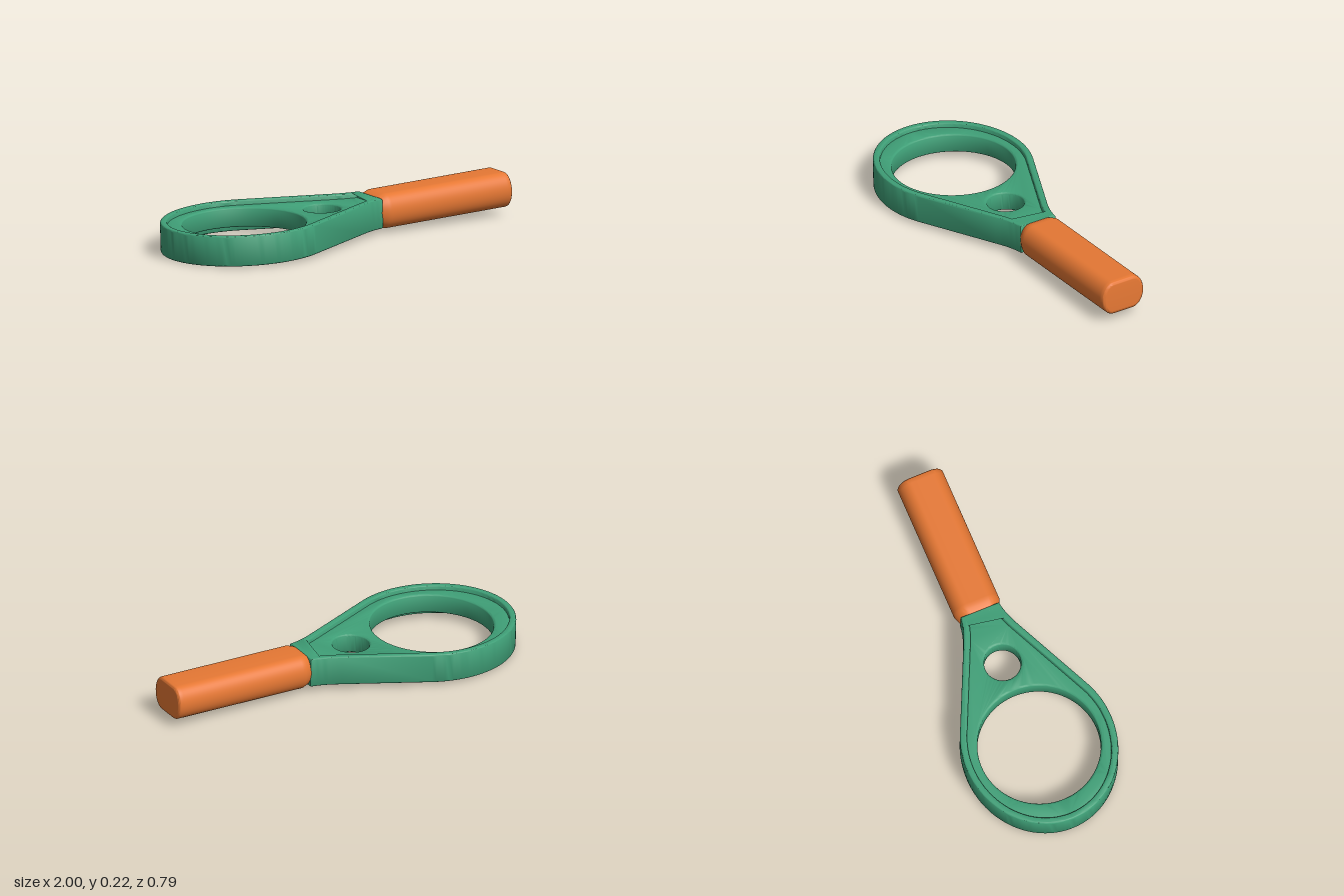
import * as THREE from 'three';
import { toCreasedNormals } from 'three/addons/utils/BufferGeometryUtils.js';

const RING_X = -0.56, MID_Y = 0.083;

// Teardrop outline, counter-clockwise, moved inward by d
function outline(d) {
  const half = [];
  const t0 = THREE.MathUtils.degToRad(62.6);
  for (let i = 0; i <= 40; i++) {
    const t = Math.PI - (Math.PI - t0) * i / 40;
    half.push(new THREE.Vector2(RING_X + 0.44 * Math.cos(t), 0.395 * Math.sin(t)));
  }
  const neck = new THREE.QuadraticBezierCurve(
    new THREE.Vector2(0.06, 0.156), new THREE.Vector2(0.15, 0.112), new THREE.Vector2(0.215, 0.106));
  half.push(...neck.getPoints(8));
  // mirror the half, sharing the leftmost point
  const pts = [...half.slice(1).reverse(), ...half.map(p => new THREE.Vector2(p.x, -p.y))];
  const n = pts.length;
  const normal = (a, b) => new THREE.Vector2(a.y - b.y, b.x - a.x).normalize();
  return pts.map((p, i) => {
    const n1 = normal(pts[(i + n - 1) % n], p), n2 = normal(p, pts[(i + 1) % n]);
    const k = d / (1 + n1.dot(n2));
    return p.clone().add(n1.add(n2).multiplyScalar(k));
  });
}

function circle(x, r) {
  return new THREE.Path().absarc(x, 0, r, 0, Math.PI * 2, true);
}

// Horizontal slab with rounded edges between two heights
function slab(points, holes, y0, y1, bevel) {
  const shape = new THREE.Shape(points);
  shape.holes.push(...holes);
  const geo = new THREE.ExtrudeGeometry(shape, {
    depth: y1 - y0 - 2 * bevel, bevelEnabled: true, bevelThickness: bevel,
    bevelSize: bevel, bevelOffset: -bevel, bevelSegments: 4, curveSegments: 48,
  });
  geo.rotateX(-Math.PI / 2).translate(0, y0 + bevel, 0);
  return toCreasedNormals(geo, 0.7);
}

// Grip: rounded oblong section with soft ends, narrowed where it meets the frame
function gripGeometry() {
  const w = 0.125, h = 0.091, f = 0.055, length = 0.795, round = 0.016;
  const s = new THREE.Shape();
  s.moveTo(f, -h);
  s.bezierCurveTo(0.095, -h, w, -0.05, w, 0);
  s.bezierCurveTo(w, 0.05, 0.095, h, f, h);
  s.lineTo(-f, h);
  s.bezierCurveTo(-0.095, h, -w, 0.05, -w, 0);
  s.bezierCurveTo(-w, -0.05, -0.095, -h, -f, -h);
  const geo = new THREE.ExtrudeGeometry(s, {
    depth: length - 2 * round, steps: 50, curveSegments: 12, bevelEnabled: true,
    bevelThickness: round, bevelSize: round, bevelOffset: -round, bevelSegments: 5,
  });
  geo.translate(0, 0, round);
  const pos = geo.attributes.position;
  for (let i = 0; i < pos.count; i++) {
    const k = 1 - 0.15 * Math.max(0, 1 - pos.getZ(i) / 0.045);
    pos.setXY(i, pos.getX(i) * k, pos.getY(i) * k);
  }
  geo.rotateY(Math.PI / 2).translate(0.205, MID_Y, 0);
  return toCreasedNormals(geo, 0.7);
}

export function createModel() {
  const green = new THREE.MeshStandardMaterial({ color: 0x3f9f77 });
  green.name = 'green frame';
  const orange = new THREE.MeshStandardMaterial({ color: 0xe67834 });
  orange.name = 'orange grip';

  const model = new THREE.Group();
  model.name = 'ringPaddle';
  const add = (name, geo, mat) => {
    const mesh = new THREE.Mesh(geo, mat);
    mesh.name = name;
    model.add(mesh);
  };

  // Raised border around the teardrop
  add('outerRim', slab(outline(0), [new THREE.Path(outline(0.036))], 0.004, 0.162, 0.01), green);
  // Recessed panel with the large and small openings
  add('webPanel', slab(outline(0.02), [circle(RING_X, 0.314), circle(-0.083, 0.094)], 0.035, 0.138, 0.014), green);
  add('handleGrip', gripGeometry(), orange);

  // The whole piece rises slightly toward the grip
  const tilt = 0.027;
  model.rotation.z = tilt;
  model.position.set(0.001, Math.sin(tilt) - 0.004, 0);
  const root = new THREE.Group();
  root.name = 'model';
  root.add(model);
  return root;
}
